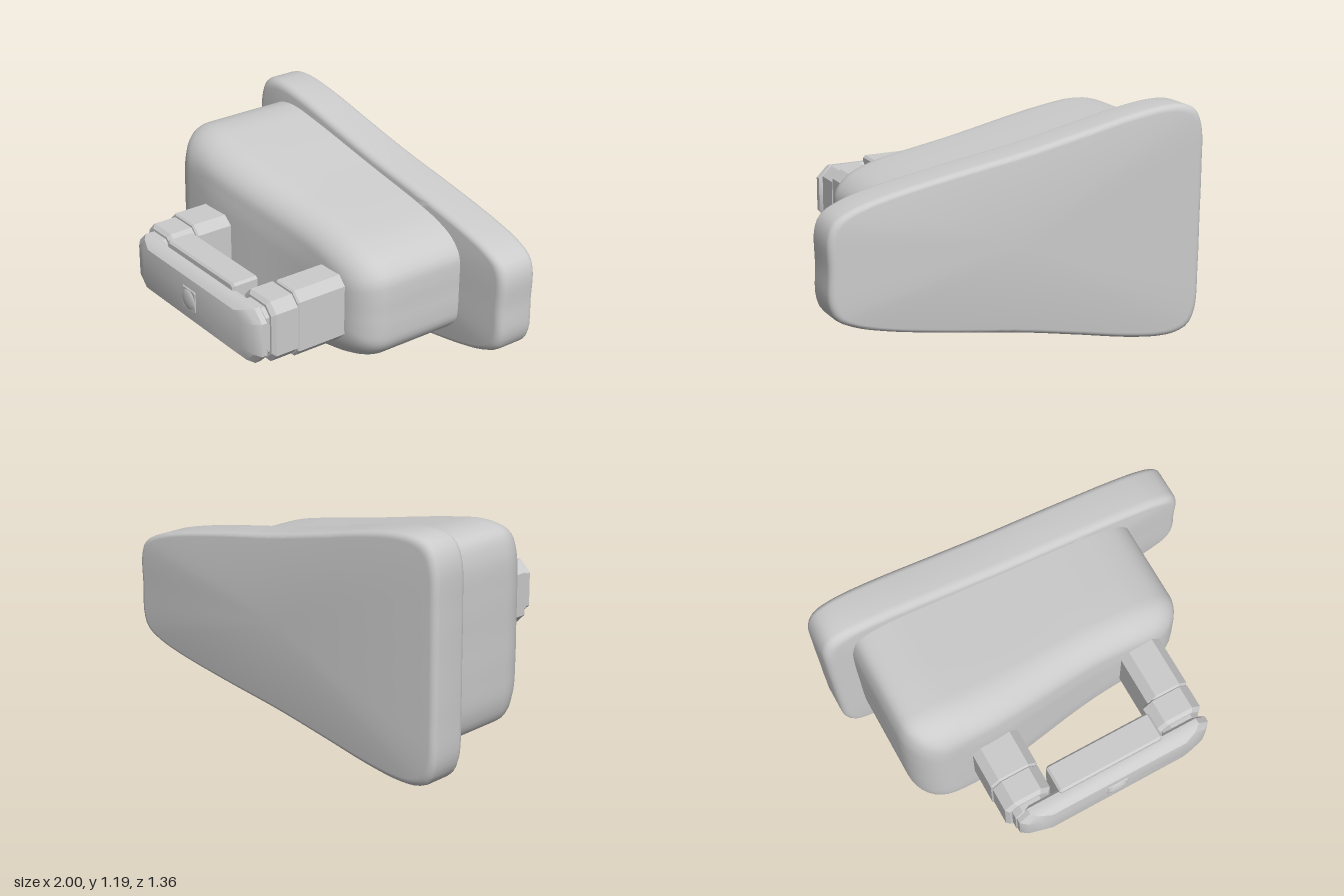
import * as THREE from 'three';
import { toCreasedNormals } from 'three/addons/utils/BufferGeometryUtils.js';

const MID = 0.6; // height of the mirror line between upper and lower halves

// Closed outline from its upper half (listed from left to right), mirrored about MID
function mirroredOutline(half) {
  const lower = half.slice(1, -1).map(([x, y]) => [x, 2 * MID - y]);
  const pts = [...half.slice().reverse(), ...lower].map(([x, y]) => new THREE.Vector3(x, y, 0));
  return new THREE.CatmullRomCurve3(pts, true, 'centripetal').getSpacedPoints(160).slice(0, -1);
}

// Rectangle with cut corners, counter-clockwise
function cutRectangle(x0, x1, y0, y1, c) {
  return [[x1, y0 + c], [x1, y1 - c], [x1 - c, y1], [x0 + c, y1], [x0, y1 - c], [x0, y0 + c], [x0 + c, y0], [x1 - c, y0]]
    .map(([x, y]) => new THREE.Vector3(x, y, 0));
}

// Solid through rings [inset in x, inset in y, z], listed from back to front
function loft(outline, rings, crease, bend = (x, z) => z) {
  const box = new THREE.Box3().setFromPoints(outline);
  const c = box.getCenter(new THREE.Vector3());
  const h = box.getSize(new THREE.Vector3()).multiplyScalar(0.5);
  const n = outline.length, pos = [], index = [];
  for (const [ix, iy, z] of rings) {
    for (const p of outline) {
      const x = c.x + (p.x - c.x) * (1 - ix / h.x);
      pos.push(x, c.y + (p.y - c.y) * (1 - iy / h.y), bend(x, z));
    }
  }
  const last = (rings.length - 1) * n, back = rings.length * n, front = back + 1;
  pos.push(c.x, c.y, bend(c.x, rings[0][2]), c.x, c.y, bend(c.x, rings[rings.length - 1][2]));
  for (let j = 0; j < n; j++) {
    const k = (j + 1) % n;
    for (let i = 0; i < last; i += n) {
      index.push(i + j, i + k, i + n + k, i + j, i + n + k, i + n + j);
    }
    index.push(back, k, j, front, last + j, last + k);
  }
  const geo = new THREE.BufferGeometry();
  geo.setAttribute('position', new THREE.Float32BufferAttribute(pos, 3));
  geo.setIndex(index);
  return toCreasedNormals(geo, crease);
}

// Quarter-round edge going from full size at z0 to inset r at z0 + depth
function roundEdge(r, z0, depth, steps) {
  return Array.from({ length: steps + 1 }, (_, i) => {
    const a = (i / steps) * Math.PI / 2;
    return [r * (1 - Math.cos(a)), r * (1 - Math.cos(a)), z0 + depth * Math.sin(a)];
  });
}

export function createModel() {
  const group = new THREE.Group();
  const material = new THREE.MeshStandardMaterial({ color: 0xcccccc });
  const add = (name, geo, parent = group) => {
    const mesh = new THREE.Mesh(geo, material);
    mesh.name = name;
    parent.add(mesh);
    return mesh;
  };
  // Cut-corner block with a small bevel on its back and front rims
  const block = (name, [x0, x1], [y0, y1], [z0, z1], cut, bevel, parent) => add(name,
    loft(cutRectangle(x0, x1, y0, y1, cut),
      [[bevel, bevel, z0], [0, 0, z0 + bevel], [0, 0, z1 - bevel], [bevel, bevel, z1]], 0.3), parent);

  // Tapered back plate
  const plateOutline = mirroredOutline([
    [-1, 0.6], [-1, 0.85], [-0.99, 1.08], [-0.95, 1.16], [-0.88, 1.19], [-0.78, 1.195], [-0.6, 1.172], [-0.3, 1.11],
    [0, 1.05], [0.4, 0.985], [0.72, 0.925], [0.88, 0.88], [0.97, 0.83], [1, 0.76], [1, 0.6]]);
  const plateBack = roundEdge(0.035, -0.645, -0.035, 5).reverse();
  add('backPlate', loft(plateOutline, [...plateBack, ...roundEdge(0.045, -0.505, 0.045, 5)], 0.7));

  // Tapered body with a softly rounded front that is shallower on the narrow side
  const bodyOutline = mirroredOutline([
    [-0.865, 0.6], [-0.865, 0.8], [-0.855, 0.98], [-0.82, 1.07], [-0.75, 1.1], [-0.65, 1.107], [-0.48, 1.085],
    [0, 1.0], [0.35, 0.94], [0.52, 0.9], [0.63, 0.85], [0.69, 0.78], [0.7, 0.7], [0.7, 0.6]]);
  const bodyRings = [[0, 0, -0.5], [0, 0, -0.2], ...roundEdge(0.19, 0, 0.2, 10)];
  for (let i = 1; i <= 6; i++) {
    const t = i / 6.5;
    bodyRings.push([0.19 + 0.59 * t, 0.19 + 0.31 * t, 0.2 + 0.008 * Math.min(1, t * 3)]);
  }
  add('body', loft(bodyOutline, bodyRings, 0.8, (x, z) =>
    z <= -0.2 ? z : -0.2 + (z + 0.2) * (1.02 - 0.19 * THREE.MathUtils.smoothstep(x, -0.55, 0.3))));

  // Two arms, each a post, a collar and a narrow neck
  for (const [name, post, collar] of [
    ['rightArm', [-0.57, -0.315], [-0.565, -0.315]],
    ['leftArm', [0.315, 0.54], [0.285, 0.54]]]) {
    const arm = new THREE.Group();
    arm.name = name;
    group.add(arm);
    block('post', post, [0.42, 0.775], [0.05, 0.405], 0.045, 0.008, arm);
    block('collar', collar, [0.435, 0.76], [0.39, 0.55], 0.05, 0.018, arm);
    block('neck', [collar[0] + 0.03, collar[1] - 0.03], [0.465, 0.73], [0.53, 0.59], 0.04, 0.005, arm);
  }

  // Centre block between the arms, seen above and below the bar
  block('centreBlock', [-0.295, 0.285], [0.42, 0.78], [0.45, 0.6], 0.012, 0.01);

  // Front bar with sloped ends
  add('frontBar', loft(cutRectangle(-0.53, 0.54, 0.45, 0.745, 0.06), [
    [0.02, 0.015, 0.57], [0, 0, 0.585], [0, 0, 0.615], [0.035, 0.012, 0.642], [0.11, 0.035, 0.665]], 0.5));

  // Square push button with a domed centre
  block('buttonFrame', [-0.06, 0.055], [0.535, 0.655], [0.65, 0.67], 0.008, 0.004);
  const dome = add('buttonDome', new THREE.SphereGeometry(0.054, 24, 12));
  dome.scale.z = 0.25;
  dome.position.set(-0.003, 0.595, 0.667);

  return group;
}
